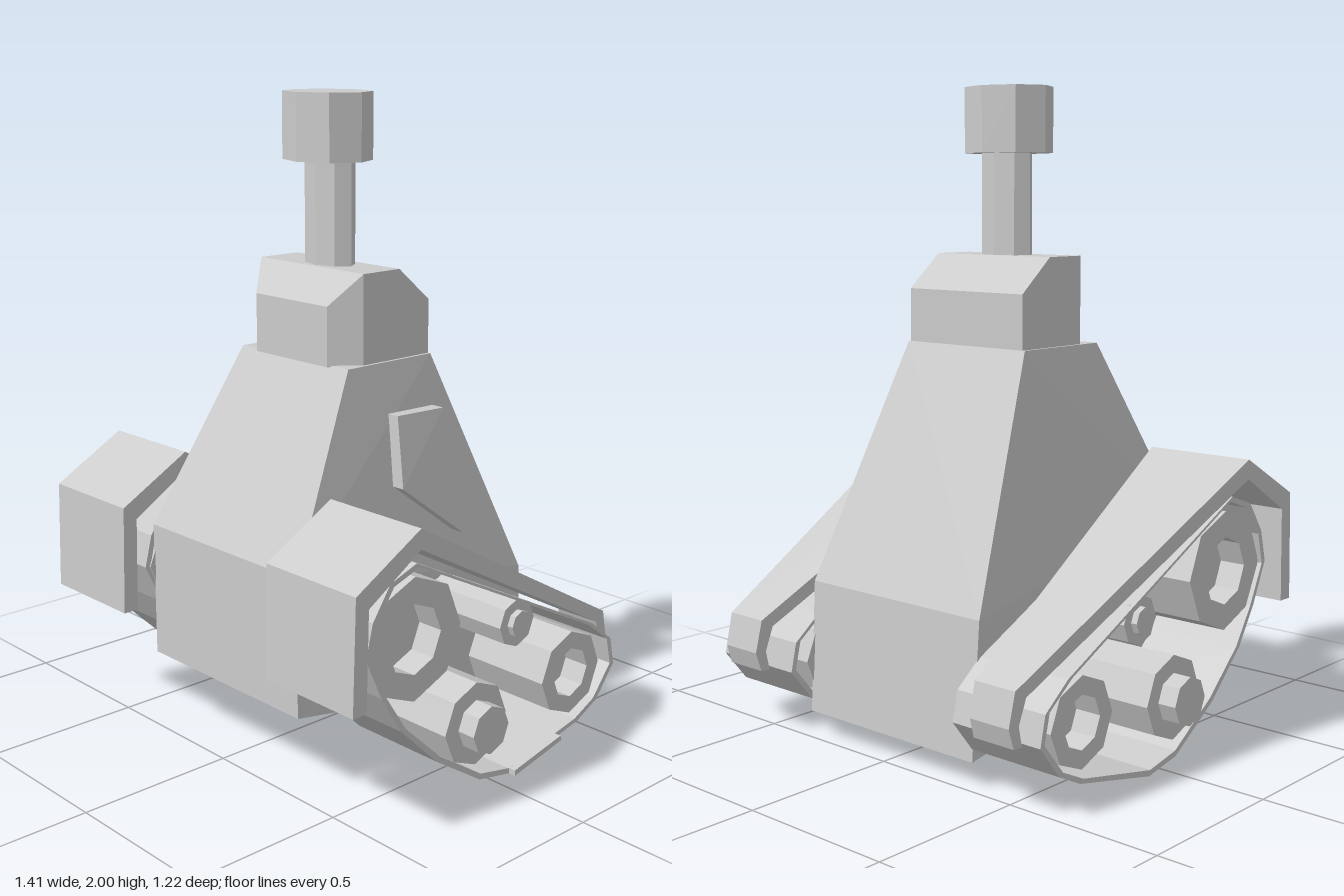
import * as THREE from 'three';
import { ConvexGeometry } from 'three/addons/geometries/ConvexGeometry.js';

const material = new THREE.MeshStandardMaterial({ color: 0xcccccc, flatShading: true, side: THREE.DoubleSide });

function addMesh(parent, name, geometry) {
  const mesh = new THREE.Mesh(geometry, material);
  mesh.name = name;
  parent.add(mesh);
  return mesh;
}

// Solid spanned by corner points; each [x, y, z] is mirrored to -x when asked.
function hull(points, mirrored = true) {
  const corners = [];
  for (const [x, y, z] of points) {
    corners.push(new THREE.Vector3(x, y, z));
    if (mirrored) corners.push(new THREE.Vector3(-x, y, z));
  }
  return new ConvexGeometry(corners);
}

// Extrudes a [z, y] profile across x; width may depend on z.
function sideExtrude(profile, hole, centreX, halfWidth) {
  const toPoints = (list) => list.map(([z, y]) => new THREE.Vector2(z, y));
  const shape = new THREE.Shape(toPoints(profile));
  if (hole) shape.holes.push(new THREE.Path(toPoints(hole)));
  const geometry = new THREE.ExtrudeGeometry(shape, { depth: 2, bevelEnabled: false });
  geometry.translate(0, 0, -1).rotateY(-Math.PI / 2);
  const pos = geometry.attributes.position;
  for (let i = 0; i < pos.count; i++) {
    pos.setX(i, centreX + pos.getX(i) * halfWidth(pos.getZ(i)));
  }
  geometry.computeVertexNormals();
  return geometry;
}

// Eight-sided wheel with a hub that is either sunk or raised.
function wheelGeometry(radius, hubRadius, hubEnd) {
  const inner = 0.335, outer = 0.645;
  const profile = [
    [0, inner], [radius, inner], [radius, outer],
    [hubRadius, outer], [hubRadius, hubEnd], [0, hubEnd],
  ].map(([r, h]) => new THREE.Vector2(r, h));
  return new THREE.LatheGeometry(profile, 8);
}

const fenderProfile = [
  [0.61, 0.41], [0.6, 0.75], [0.36, 0.885], [-0.585, 0.37], [-0.608, 0.27], [-0.59, 0.21],
  [-0.56, 0.21], [-0.572, 0.27], [-0.545, 0.345], [0.36, 0.825], [0.553, 0.705], [0.56, 0.41],
];

const trackProfile = [
  [0.525, 0.54], [0.5, 0.64], [0.435, 0.735], [0.335, 0.77], [-0.445, 0.385], [-0.54, 0.31],
  [-0.56, 0.22], [-0.48, 0.12], [-0.39, 0.075], [-0.07, 0.005], [0.06, 0.03],
  [0.245, 0.15], [0.39, 0.29], [0.465, 0.41],
];

// z, y, radius, hub radius, hub end
const wheels = [
  ['frontWheel', 0.325, 0.54, 0.185, 0.105, 0.56],
  ['lowerWheel', 0.065, 0.205, 0.13, 0.075, 0.705],
  ['rearWheel', -0.365, 0.24, 0.135, 0.08, 0.56],
  ['returnRoller', -0.105, 0.475, 0.075, 0.042, 0.665],
];

function createTrackUnit(side) {
  const unit = new THREE.Group();
  unit.name = side > 0 ? 'leftTrackUnit' : 'rightTrackUnit';

  // Fender narrows towards the rear
  addMesh(unit, 'fender', sideExtrude(fenderProfile, null, side * 0.52, (z) =>
    THREE.MathUtils.clamp(THREE.MathUtils.mapLinear(z, -0.61, 0.36, 0.07, 0.18), 0.07, 0.18)));

  // Thin closed track belt
  const inside = trackProfile.map(([z, y]) => {
    const inward = new THREE.Vector2(-z, 0.37 - y).setLength(0.018);
    return [z + inward.x, y + inward.y];
  });
  addMesh(unit, 'trackBelt', sideExtrude(trackProfile, inside, side * 0.5, () => 0.16));

  for (const [name, z, y, radius, hubRadius, hubEnd] of wheels) {
    const wheel = addMesh(unit, name, wheelGeometry(radius, hubRadius, hubEnd));
    wheel.rotation.z = -side * Math.PI / 2;
    wheel.position.set(0, y, z);
  }
  return unit;
}

export function createModel() {
  const model = new THREE.Group();
  model.name = 'trackedRobot';

  // Tapered hull
  addMesh(model, 'body', hull([
    [0.34, 0.25, 0.49], [0.34, 0.08, -0.48],
    [0.34, 0.675, 0.49], [0.345, 0.49, -0.455],
    [0.24, 1.22, 0.2], [0.24, 1.22, -0.14],
  ]));

  // Head with chamfered front corners and sloped back
  addMesh(model, 'head', hull([
    [0.16, 1.215, 0.21], [0.16, 1.395, 0.21],
    [0.23, 1.215, 0.13], [0.23, 1.49, 0.13], [0.23, 1.49, -0.015],
    [0.23, 1.385, -0.14], [0.23, 1.215, -0.14],
  ]));

  // Flattened eight-sided mast and its cap
  const neck = addMesh(model, 'mast', new THREE.CylinderGeometry(1, 1, 0.34, 8));
  neck.scale.set(0.094, 1, 0.059);
  neck.position.set(0.003, 1.64, 0.055);
  const cap = addMesh(model, 'mastCap', new THREE.CylinderGeometry(1, 1, 0.2, 8));
  cap.scale.set(0.147, 1, 0.124);
  cap.position.set(0.002, 1.9, 0.063);

  // Raised plate on the left flank
  const plate = [[0.307, 1.07, 0.063], [0.31, 1.065, -0.128], [0.37, 0.675, -0.16], [0.345, 0.855, 0.075]];
  addMesh(model, 'sidePlate', hull([...plate, ...plate.map(([x, y, z]) => [x - 0.06, y, z])], false));

  for (const side of [1, -1]) model.add(createTrackUnit(side));

  // Offset tread link under the left track
  const link = [[-0.07, 0.005], [-0.285, 0.052], [-0.28, 0.068], [-0.07, 0.023]];
  addMesh(model, 'looseTreadLink', sideExtrude(link, null, 0.665, () => 0.019));

  return model;
}
